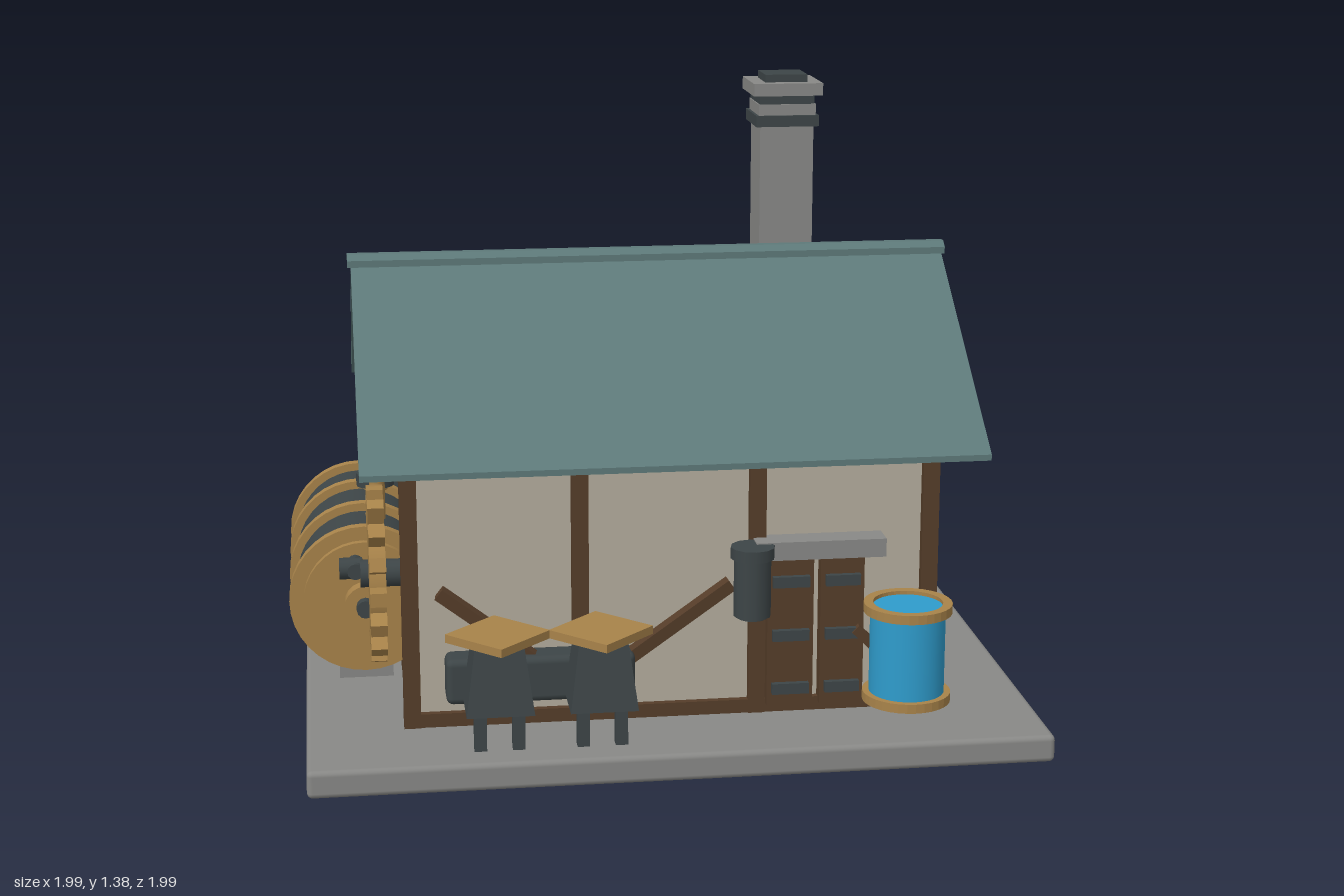
import * as THREE from 'three';
import { RoundedBoxGeometry } from 'three/addons/geometries/RoundedBoxGeometry.js';

const mat = (name, color, extra = {}) => {
  const m = new THREE.MeshStandardMaterial({ color, ...extra });
  m.name = name;
  return m;
};

export function createModel() {
  const stone = mat('stone', 0x888886);
  const plaster = mat('plaster', 0xb3ac9c);
  const slate = mat('roofTeal', 0x5d7979);
  const timber = mat('timber', 0x553d29);
  const brass = mat('brass', 0xa8834a);
  const iron = mat('iron', 0x3d4547);
  const water = mat('water', 0x2f9ccc);

  const model = new THREE.Group();
  model.name = 'workshop';
  // The whole building stands turned by 45 degrees
  const site = new THREE.Group();
  site.name = 'site';
  site.rotation.y = Math.PI / 4;
  model.add(site);

  const add = (name, geo, material, x, y, z, parent = site) => {
    const m = new THREE.Mesh(geo, material);
    m.name = name;
    m.position.set(x, y, z);
    parent.add(m);
    return m;
  };
  // Box given by its extents on each axis
  const box = (name, material, x0, x1, y0, y1, z0, z1, r = 0) => {
    const s = [x1 - x0, y1 - y0, z1 - z0];
    const g = r ? new RoundedBoxGeometry(...s, 2, r) : new THREE.BoxGeometry(...s);
    return add(name, g, material, (x0 + x1) / 2, (y0 + y1) / 2, (z0 + z1) / 2);
  };
  // Cylinder along 'x', 'y' or 'z'
  const cyl = (name, material, r, len, axis, x, y, z, sides = 28) => {
    const m = add(name, new THREE.CylinderGeometry(r, r, len, sides), material, x, y, z);
    if (axis === 'x') m.rotation.z = Math.PI / 2;
    if (axis === 'z') m.rotation.x = Math.PI / 2;
    return m;
  };
  // Round or square rod between two points
  const rod = (name, material, a, b, w) => {
    const p = new THREE.Vector3(...a), q = new THREE.Vector3(...b);
    const d = q.clone().sub(p);
    const m = add(name, new THREE.BoxGeometry(w, d.length(), w), material, ...p.clone().add(q).multiplyScalar(0.5));
    m.quaternion.setFromUnitVectors(new THREE.Vector3(0, 1, 0), d.normalize());
    return m;
  };
  // Profile in (z, y) extruded along x, centred
  const alongX = (name, material, pts, len) => {
    const shape = new THREE.Shape(pts.map(([z, y]) => new THREE.Vector2(-z, y)));
    const g = new THREE.ExtrudeGeometry(shape, { depth: len, bevelEnabled: false });
    g.translate(0, 0, -len / 2).rotateY(Math.PI / 2);
    return add(name, g, material, 0, 0, 0);
  };

  // Ground slab, walls and stone footing
  box('groundSlab', stone, -0.785, 0.785, 0, 0.06, -0.63, 0.63, 0.012);
  box('walls', plaster, -0.55, 0.55, 0.06, 0.64, -0.39, 0.395);
  box('footing', stone, -0.53, 0.57, 0.06, 0.235, -0.405, 0.38, 0.012);

  // Timber frame on the two open sides
  for (const x of [-0.56, -0.2, 0.18, 0.555])
    box('post', timber, x - 0.018, x + 0.018, 0.06, 0.64, 0.375, 0.413);
  box('post', timber, -0.578, -0.542, 0.06, 0.64, -0.418, -0.382);
  box('frontSill', timber, -0.56, 0.56, 0.06, 0.09, 0.38, 0.41);
  box('sideSill', timber, -0.57, -0.54, 0.06, 0.09, -0.4, 0.4);

  // Roof: solid gable block with a thin chevron shell
  alongX('gable', timber, [[-0.485, 0.638], [0.485, 0.638], [0, 0.985]], 1.3);
  alongX('roof', slate, [[-0.502, 0.632], [-0.48, 0.632], [0, 0.978], [0.48, 0.632],
    [0.502, 0.632], [0.502, 0.645], [0, 1.003], [-0.502, 0.645]], 1.32);
  alongX('ridgeCap', slate, [[-0.025, 0.985], [0, 0.99], [0.025, 0.985], [0.025, 1.0],
    [0.01, 1.012], [-0.01, 1.012], [-0.025, 1.0]], 1.335);

  // Chimney: stacked square courses
  for (const [name, m, w, y0, y1] of [
    ['chimneyShaft', stone, 0.122, 0.75, 1.33], ['chimneyBand', iron, 0.143, 1.26, 1.285],
    ['chimneyNeck', stone, 0.13, 1.285, 1.31], ['chimneyCollar', iron, 0.125, 1.31, 1.33],
    ['chimneyCap', stone, 0.157, 1.33, 1.358], ['chimneyFlue', iron, 0.096, 1.355, 1.375]])
    box(name, m, 0.329 - w / 2, 0.329 + w / 2, y0, y1, -0.173 - w / 2, -0.173 + w / 2);

  // Double door with iron straps and a stone lintel
  for (const [x0, x1] of [[0.2, 0.3], [0.315, 0.41]]) {
    box('door', timber, x0, x1, 0.08, 0.415, 0.39, 0.425);
    for (const y of [0.12, 0.24, 0.36])
      box('doorStrap', iron, x0 + 0.01, x1 - 0.01, y - 0.012, y + 0.012, 0.42, 0.438);
  }
  box('lintel', stone, 0.17, 0.45, 0.415, 0.455, 0.39, 0.455);

  // Lantern beside the door
  cyl('lanternBody', iron, 0.04, 0.13, 'y', 0.16, 0.365, 0.463, 12);
  cyl('lanternCap', iron, 0.047, 0.025, 'y', 0.16, 0.44, 0.463, 12);
  cyl('lanternFoot', iron, 0.032, 0.02, 'y', 0.16, 0.305, 0.463, 12);

  // Water tank with brass rims
  const tx = 0.487, tz = 0.508;
  cyl('waterTank', water, 0.08, 0.2, 'y', tx, 0.222, tz, 32);
  for (const y of [0.124, 0.32]) {
    const ring = [[0.074, -0.01], [0.094, -0.01], [0.094, 0.01], [0.074, 0.01], [0.074, -0.01]];
    add('tankRim', new THREE.LatheGeometry(ring.map(p => new THREE.Vector2(...p)), 32).toNonIndexed(),
      brass, tx, y, tz).geometry.computeVertexNormals();
  }
  rod('tankBracket', timber, [0.39, 0.25, 0.43], [0.49, 0.15, 0.43], 0.022);

  // Two work stands: tapered iron block, turned brass plate, two legs
  for (const x of [-0.385, -0.17]) {
    const g = new THREE.CylinderGeometry(0.072, 0.1, 0.145, 4).toNonIndexed();
    g.computeVertexNormals();
    // Block edges run parallel to the wall, so its corners lie on the diagonals
    add('standBody', g, iron, x, 0.222, 0.532).rotation.y = Math.PI / 4;
    const plate = box('standPlate', brass, x - 0.077, x + 0.077, 0.292, 0.31, 0.455, 0.609);
    plate.rotation.y = -Math.PI / 4;
    for (const s of [-1, 1])
      box('standLeg', iron, x + s * 0.04 - 0.013, x + s * 0.04 + 0.013, 0.06, 0.16, 0.535, 0.561);
  }
  // Trough behind the stands and its levers
  box('trough', iron, -0.49, -0.09, 0.13, 0.23, 0.4, 0.475, 0.015);
  rod('lever', timber, [-0.5, 0.365, 0.425], [-0.3, 0.215, 0.44], 0.027);
  rod('lever', timber, [0.12, 0.36, 0.425], [-0.13, 0.19, 0.44], 0.027);

  // Boiler lying along the side wall
  const bx = -0.65, by = 0.265;
  cyl('boiler', iron, 0.148, 0.54, 'z', bx, by, -0.13, 36);
  for (const z of [-0.4, -0.24, -0.055, 0.13])
    cyl('boilerBand', brass, 0.166, 0.026, 'z', bx, by, z, 36);
  cyl('boilerEnd', brass, 0.135, 0.03, 'z', bx, by, 0.145, 36);
  cyl('boilerHub', brass, 0.045, 0.05, 'z', bx, by, 0.17, 20);
  cyl('hubPin', iron, 0.02, 0.08, 'z', bx, by, 0.18, 12);
  cyl('valveStem', iron, 0.018, 0.1, 'z', bx - 0.02, 0.355, 0.18, 12);
  cyl('valveHandle', iron, 0.024, 0.05, 'x', bx - 0.03, 0.355, 0.2, 12);
  for (const z of [-0.3, 0.03])
    box('boilerSaddle', stone, bx - 0.06, bx + 0.06, 0.06, 0.15, z - 0.05, z + 0.05);

  // Flue pipe from the boiler to the eaves
  cyl('fluePipe', brass, 0.03, 0.24, 'y', -0.615, 0.53, -0.235, 20);
  cyl('flueFlange', iron, 0.044, 0.03, 'y', -0.615, 0.435, -0.235, 20);

  // Pressure gauge facing outwards
  cyl('gaugeCase', brass, 0.074, 0.035, 'x', -0.615, 0.565, -0.01, 28);
  cyl('gaugeFace', plaster, 0.06, 0.008, 'x', -0.636, 0.565, -0.01, 28);
  box('gaugeNeedle', iron, -0.646, -0.64, 0.56, 0.615, -0.017, -0.005);
  cyl('gaugeStem', brass, 0.018, 0.14, 'y', -0.615, 0.46, -0.01, 14);

  // Cogwheel on the side wall
  const cog = new THREE.Group();
  cog.name = 'cogwheel';
  cog.position.set(-0.625, 0.35, 0.225);
  cog.rotation.y = -Math.PI / 2;
  site.add(cog);
  const disc = add('cogDisc', new THREE.CylinderGeometry(0.15, 0.15, 0.035, 36), brass, 0, 0, 0, cog);
  disc.rotation.x = Math.PI / 2;
  for (let i = 0; i < 16; i++) {
    const a = (i / 16) * Math.PI * 2;
    const t = add('cogTooth', new THREE.BoxGeometry(0.05, 0.03, 0.035), brass,
      Math.cos(a) * 0.166, Math.sin(a) * 0.166, 0, cog);
    t.rotation.z = a;
  }
  cyl('cogAxle', iron, 0.03, 0.12, 'x', -0.6, 0.35, 0.225, 16);

  return model;
}
